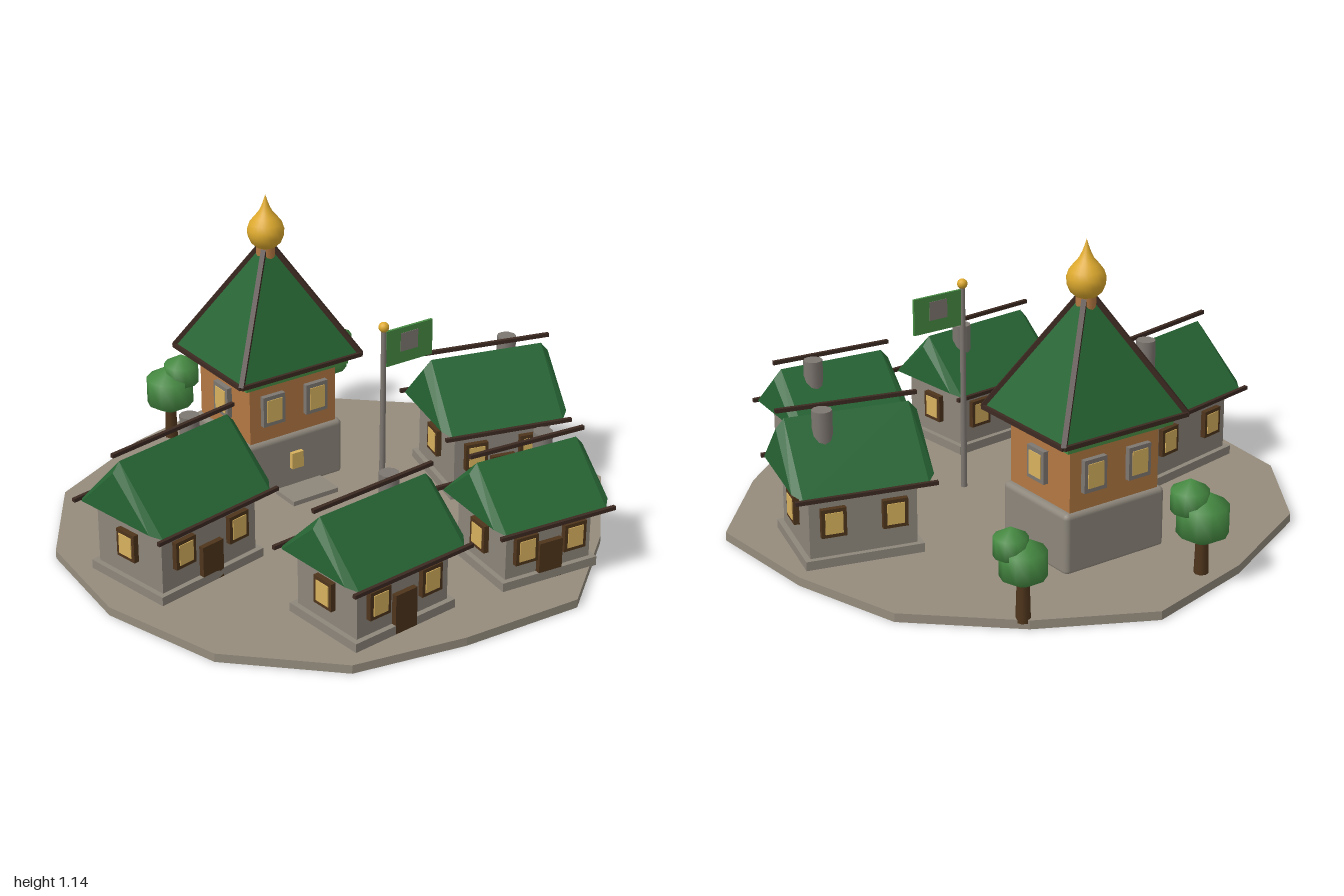
import * as THREE from 'three';
import { RoundedBoxGeometry } from 'three/addons/geometries/RoundedBoxGeometry.js';
import { ConvexGeometry } from 'three/addons/geometries/ConvexGeometry.js';

const mat = (name, color) => Object.assign(new THREE.MeshStandardMaterial({ color }), { name });
const M = {
  ground: mat('ground', 0x958c7d),
  stone: mat('stone', 0x8d867b),
  roof: mat('roof green', 0x276534),
  trim: mat('dark trim', 0x3d2a22),
  frame: mat('brown wood', 0x4f351c),
  timber: mat('timber', 0xb37842),
  gold: mat('gold', 0xdeaa2e),
  pane: mat('window glow', 0xd8b25e),
  leaf: mat('light green', 0x478c43),
  pole: mat('grey', 0x7e7771),
};
const V = (x, y, z) => new THREE.Vector3(x, y, z);

function add(parent, name, geo, material, x = 0, y = 0, z = 0) {
  const m = new THREE.Mesh(geo, material);
  m.name = name;
  m.position.set(x, y, z);
  parent.add(m);
  return m;
}
const box = (p, name, material, w, h, d, x, y, z) => add(p, name, new THREE.BoxGeometry(w, h, d), material, x, y, z);

// Square beam running between two points of its parent
function beam(p, name, a, b, t) {
  const c = a.clone().add(b).multiplyScalar(0.5);
  const m = box(p, name, M.trim, t, t, a.distanceTo(b), c.x, c.y, c.z);
  m.quaternion.setFromRotationMatrix(new THREE.Matrix4().lookAt(a, b, V(0, 1, 0)));
}

// Framed window facing +z, turned by angle
function windowUnit(p, x, y, z, angle, w, h, frameMat) {
  const g = new THREE.Group();
  g.name = 'window';
  g.position.set(x, y, z);
  g.rotation.y = angle;
  box(g, 'windowFrame', frameMat, w, h, 0.024, 0, 0, 0);
  box(g, 'windowPane', M.pane, w * 0.7, h * 0.74, 0.008, 0, 0, 0.011);
  p.add(g);
}

// Cottage: hl = half roof length, hd = half distance between eave beams
function cottage(root, { x, z, angle, hl, hd, eave, ridge, winY }) {
  const g = new THREE.Group();
  g.name = 'cottage';
  g.position.set(x, 0, z);
  g.rotation.y = angle;
  root.add(g);
  const wx = hl - 0.06, wz = hd - 0.055;
  box(g, 'plinth', M.stone, wx * 2 + 0.04, 0.035, wz * 2 + 0.04, 0, 0.0475, 0);
  box(g, 'walls', M.stone, wx * 2, eave - 0.02, wz * 2, 0, 0.03 + (eave - 0.02) / 2, 0);

  // Prism roof with bevelled gable ends
  const pts = [], rz = hd - 0.01, inset = 0.035;
  for (const s of [-1, 1]) {
    const a = s * (hl - 0.03), b = s * hl;
    pts.push(V(a, eave, -rz), V(a, eave, rz), V(a, ridge, 0));
    pts.push(V(b, eave + 0.015, -rz + inset), V(b, eave + 0.015, rz - inset), V(b, ridge - inset, 0));
  }
  add(g, 'roof', new ConvexGeometry(pts), M.roof);
  beam(g, 'ridgeBeam', V(-hl, ridge + 0.03, 0), V(hl, ridge + 0.03, 0), 0.014);
  for (const s of [-1, 1]) beam(g, 'eaveBeam', V(-hl, eave, s * hd), V(hl, eave, s * hd), 0.014);
  const ch = ridge + 0.03 - eave;
  add(g, 'chimney', new THREE.CylinderGeometry(0.036, 0.036, ch, 10), M.pole, hl * 0.4, eave + ch / 2, -hd * 0.2);

  // Door and windows
  box(g, 'door', M.frame, 0.095, 0.15, 0.02, 0, 0.105, wz + 0.01);
  for (const s of [-1, 1]) {
    windowUnit(g, s * wx * 0.57, winY, wz + 0.008, 0, 0.09, 0.105, M.frame);
    windowUnit(g, s * wx * 0.57, winY, -wz - 0.008, Math.PI, 0.09, 0.105, M.frame);
    windowUnit(g, s * (wx + 0.008), winY, 0, s * Math.PI / 2, 0.09, 0.105, M.frame);
  }
}

function tower(root) {
  const g = new THREE.Group();
  g.name = 'tower';
  g.position.set(0.012, 0, -0.42);
  root.add(g);
  add(g, 'stoneBase', new RoundedBoxGeometry(0.43, 0.23, 0.37, 2, 0.02), M.stone, 0, 0.135, 0);
  box(g, 'doorStep', M.stone, 0.2, 0.02, 0.12, 0, 0.04, 0.26);
  box(g, 'baseWindow', M.pane, 0.05, 0.065, 0.02, 0, 0.145, 0.192);
  box(g, 'timberStorey', M.timber, 0.38, 0.27, 0.34, 0, 0.375, 0);
  box(g, 'cornice', M.leaf, 0.45, 0.035, 0.41, 0, 0.503, 0);
  for (const s of [-1, 1]) {
    windowUnit(g, s * 0.095, 0.375, 0.178, 0, 0.095, 0.12, M.pole);
    windowUnit(g, s * 0.095, 0.375, -0.178, Math.PI, 0.095, 0.12, M.pole);
    windowUnit(g, s * 0.198, 0.375, 0, s * Math.PI / 2, 0.095, 0.12, M.pole);
  }

  // Hipped pyramid roof edged with dark beams
  const apex = V(0, 0.97, 0), y = 0.525, rx = 0.264, rz = 0.233;
  const corners = [[-1, -1], [1, -1], [1, 1], [-1, 1]].map(([a, b]) => V(a * rx, y, b * rz));
  add(g, 'towerRoof', new ConvexGeometry([apex, ...corners]), M.roof);
  corners.forEach((c, i) => {
    beam(g, 'hipBeam', c, apex, 0.018);
    beam(g, 'towerEaveBeam', c, corners[(i + 1) % 4], 0.016);
  });

  // Onion dome finial
  add(g, 'domeNeck', new THREE.CylinderGeometry(0.037, 0.037, 0.1, 16), M.timber, 0, 0.905, 0);
  const profile = [[0, 0.93], [0.034, 0.938], [0.056, 0.958], [0.067, 0.985], [0.068, 1.008], [0.06, 1.032],
    [0.043, 1.054], [0.026, 1.074], [0.015, 1.096], [0.007, 1.118], [0, 1.14]];
  add(g, 'onionDome', new THREE.LatheGeometry(profile.map(([a, b]) => new THREE.Vector2(a, b)), 24), M.gold);
}

// Tree with two coarse, smooth-shaded crowns
function tree(root, x, z, r, y) {
  const g = new THREE.Group();
  g.name = 'tree';
  g.position.set(x, 0, z);
  add(g, 'trunk', new THREE.CylinderGeometry(0.02, 0.026, 0.2, 8), M.frame, 0, 0.12, 0);
  add(g, 'lowerFoliage', new THREE.SphereGeometry(r, 10, 3), M.leaf, 0, y, 0);
  add(g, 'upperFoliage', new THREE.SphereGeometry(r * 0.74, 10, 3), M.leaf, r * 0.38, y + r * 0.68, r * 0.22);
  root.add(g);
}

export function createModel() {
  const root = new THREE.Group();
  root.name = 'village';

  // Irregular ground slab, listed as x, z
  const rim = [[0.13, -1], [0.52, -0.8], [0.85, -0.5], [0.97, -0.09], [1, 0.37], [0.7, 0.71], [0.34, 1],
    [-0.12, 0.975], [-0.53, 0.895], [-0.86, 0.58], [-1, 0.13], [-0.965, -0.315], [-0.73, -0.68], [-0.3, -0.89]];
  const shape = new THREE.Shape(rim.map(([x, z]) => new THREE.Vector2(x, -z)));
  const slab = new THREE.ExtrudeGeometry(shape, { depth: 0.032, bevelEnabled: false }).rotateX(-Math.PI / 2);
  add(root, 'ground', slab, M.ground);

  [
    { x: -0.648, z: 0.003, angle: 0.19, hl: 0.278, hd: 0.22, eave: 0.303, ridge: 0.525, winY: 0.195 },
    { x: 0.672, z: 0.062, angle: -0.255, hl: 0.253, hd: 0.223, eave: 0.303, ridge: 0.525, winY: 0.195 },
    { x: -0.272, z: 0.65, angle: 0.093, hl: 0.262, hd: 0.207, eave: 0.277, ridge: 0.473, winY: 0.18 },
    { x: 0.372, z: 0.665, angle: -0.103, hl: 0.235, hd: 0.208, eave: 0.267, ridge: 0.457, winY: 0.172 },
  ].forEach((c) => cottage(root, c));

  tower(root);
  tree(root, -0.16, -0.855, 0.104, 0.235);
  tree(root, 0.525, -0.77, 0.092, 0.23);

  // Flagpole with a plain banner and square patch
  const flag = new THREE.Group();
  flag.name = 'flagpole';
  flag.position.set(0.088, 0, 0.208);
  add(flag, 'pole', new THREE.CylinderGeometry(0.01, 0.012, 0.79, 10), M.pole, 0, 0.425, 0);
  add(flag, 'poleBall', new THREE.SphereGeometry(0.019, 14, 10), M.gold, 0, 0.825, 0);
  box(flag, 'banner', M.leaf, 0.2, 0.135, 0.01, 0.11, 0.738, 0);
  box(flag, 'bannerPatch', M.pole, 0.075, 0.07, 0.014, 0.108, 0.75, 0);
  root.add(flag);
  return root;
}
